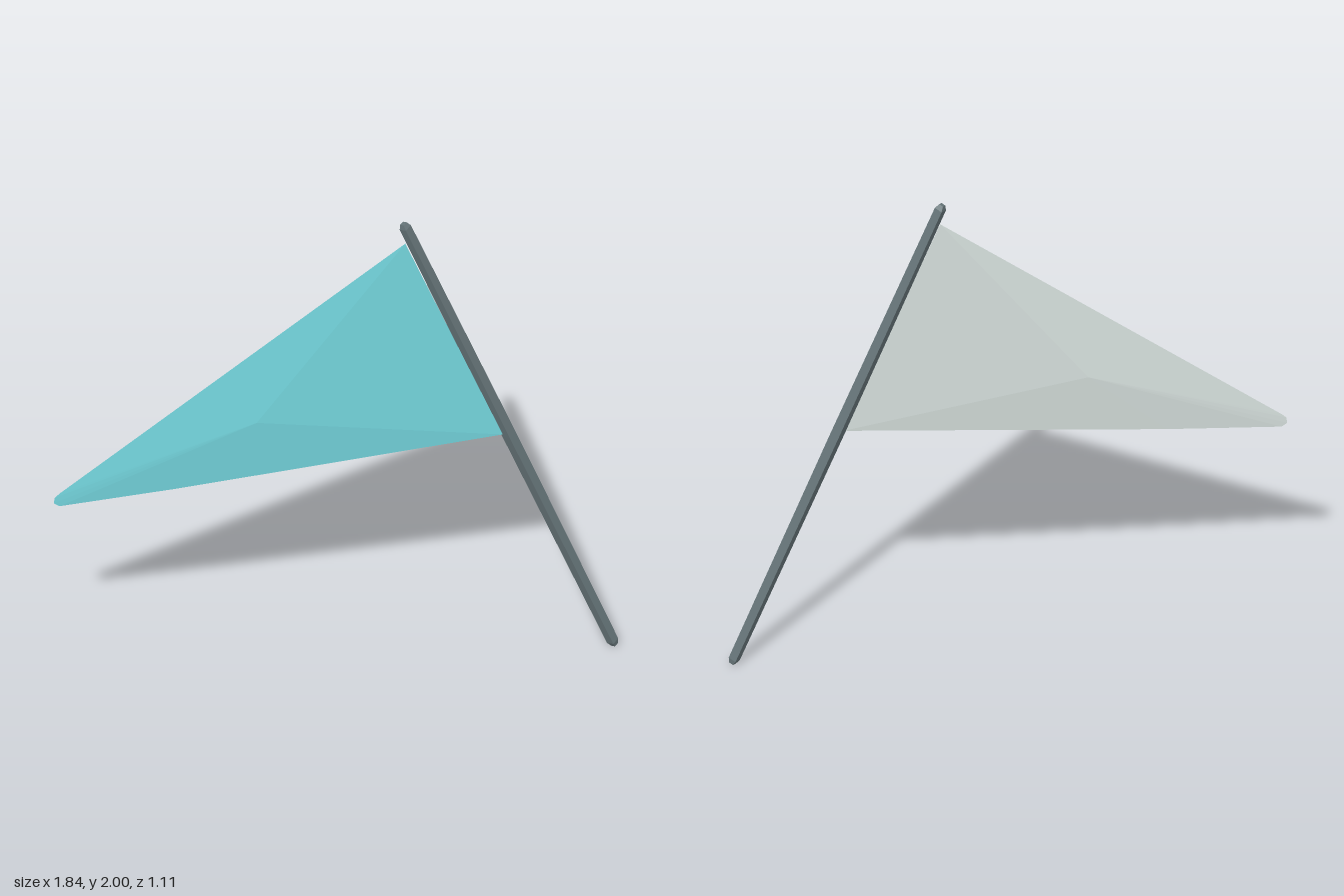
import * as THREE from 'three';

const mat = (name, color) => Object.assign(new THREE.MeshStandardMaterial({ color, flatShading: true }), { name });

export function createModel() {
  const group = new THREE.Group();
  group.name = 'pennant';
  const teal = mat('teal cloth', 0x72d2da);
  const grey = mat('pale grey cloth', 0xd8e2df);
  const iron = mat('dark pole', 0x667579);

  // All cloth edges lie in one slanted plane
  const onPlane = (x, y) => new THREE.Vector3(x, y, -0.17 - (0.816 * (x - 0.2) + 0.053 * (y - 1.9)) / 1.347);
  const normal = new THREE.Vector3(0.816, 0.053, 1.347).normalize();

  // Pole: square bar, slightly slimmer at the ends, one corner edge facing along the cloth normal
  const bottom = new THREE.Vector3(0.907, 0.005, -0.54);
  const top = new THREE.Vector3(0.196, 1.995, -0.175);
  const up = top.clone().sub(bottom);
  const half = up.length() / 2;
  up.normalize();
  const side = new THREE.Vector3().crossVectors(up, normal).normalize();
  const out = new THREE.Vector3().crossVectors(side, up);
  const profile = [[0, -half], [0.013, -half], [0.023, -half + 0.02], [0.027, 0], [0.023, half - 0.02], [0.013, half], [0, half]];
  const bar = new THREE.LatheGeometry(profile.map(([x, y]) => new THREE.Vector2(x, y)), 4).toNonIndexed();
  bar.computeVertexNormals();
  const pole = new THREE.Mesh(bar, iron);
  pole.name = 'pole';
  pole.applyMatrix4(new THREE.Matrix4().makeBasis(side, up, out).setPosition(bottom.clone().add(top).multiplyScalar(0.5)));
  group.add(pole);

  // Cloth: outline fanned to a raised centre, one shell on each side
  const outline = [[0.205, 1.905], [-0.905, 0.878], [-0.921, 0.86], [-0.924, 0.835], [-0.905, 0.82], [-0.53, 0.862], [0.535, 1.006]]
    .map(([x, y]) => onPlane(x, y));
  const addCloth = (name, sign, material) => {
    const peak = onPlane(-0.27, 1.15).addScaledVector(normal, 0.02 * sign);
    const points = [];
    outline.forEach((p, i) => {
      const q = outline[(i + 1) % outline.length];
      points.push(peak, ...(sign > 0 ? [p, q] : [q, p]));
    });
    const geometry = new THREE.BufferGeometry().setFromPoints(points);
    geometry.computeVertexNormals();
    const mesh = new THREE.Mesh(geometry, material);
    mesh.name = name;
    group.add(mesh);
  };
  addCloth('clothFront', 1, teal);
  addCloth('clothBack', -1, grey);

  return group;
}
